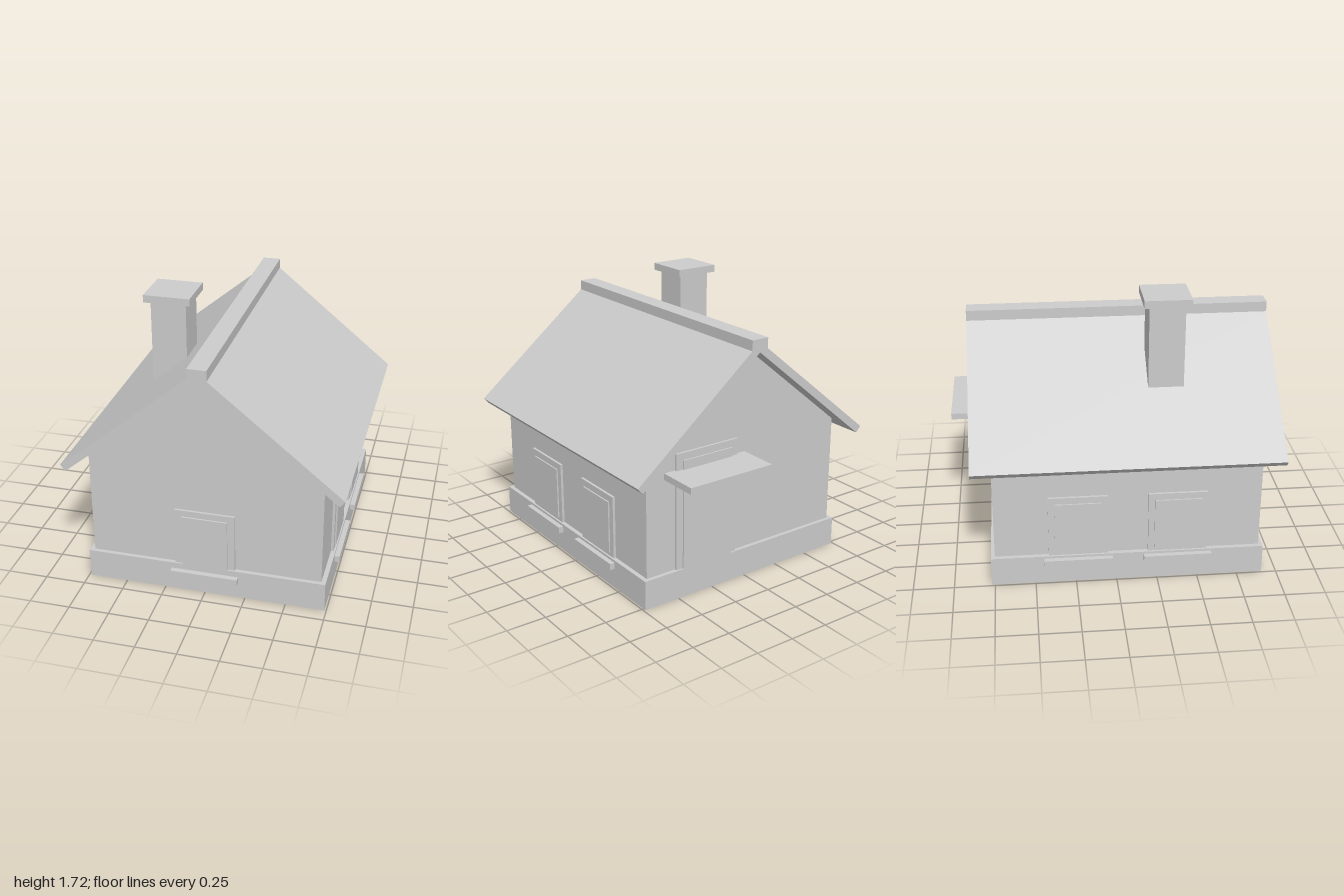
import * as THREE from 'three';

export function createModel() {
  const house = new THREE.Group();
  house.name = 'house';
  const plaster = new THREE.MeshStandardMaterial({ color: 0xcccccc });
  plaster.name = 'plain grey';

  const add = (name, geometry) => {
    const mesh = new THREE.Mesh(geometry, plaster);
    mesh.name = name;
    house.add(mesh);
    return mesh;
  };
  // Box given by its limits on each axis
  const box = (name, x0, x1, y0, y1, z0, z1) =>
    add(name, new THREE.BoxGeometry(x1 - x0, y1 - y0, z1 - z0))
      .position.set((x0 + x1) / 2, (y0 + y1) / 2, (z0 + z1) / 2);
  // Outline in x and y, extruded from z0 to z1
  const prism = (name, points, z0, z1) => {
    const shape = new THREE.Shape(points.map(([x, y]) => new THREE.Vector2(x, y)));
    add(name, new THREE.ExtrudeGeometry(shape, { depth: z1 - z0, bevelEnabled: false }))
      .position.z = z0;
  };

  // Plinth and gabled walls
  box('plinth', -0.738, 0.738, 0, 0.185, -0.77, 0.91);
  prism('walls', [[-0.71, 0.18], [0.71, 0.18], [0.71, 0.875], [0, 1.457], [-0.71, 0.875]], -0.745, 0.885);

  // Roof slopes with raised ridge
  prism('roof', [
    [0, 1.46], [0.813, 0.793], [0.845, 0.83], [0.057, 1.476], [0.057, 1.54],
    [-0.057, 1.54], [-0.057, 1.476], [-0.845, 0.83], [-0.813, 0.793],
  ], -0.865, 1);

  // Chimney
  box('chimneyStack', -0.443, -0.227, 1.0, 1.68, 0.214, 0.43);
  box('chimneyCap', -0.478, -0.194, 1.678, 1.724, 0.18, 0.463);

  // Front door with step
  box('frontDoorFrame', -0.185, 0.185, 0.185, 0.56, 0.87, 0.9);
  box('frontDoor', -0.14, 0.14, 0.185, 0.52, 0.87, 0.91);
  box('frontStep', -0.208, 0.208, 0.108, 0.147, 0.9, 0.943);

  // Back door with canopy
  box('backDoorFrame', 0.065, 0.508, 0.185, 0.92, -0.76, -0.73);
  box('backDoor', 0.11, 0.463, 0.185, 0.875, -0.77, -0.73);
  box('backCanopy', 0, 0.585, 0.778, 0.818, -1, -0.735);

  // Two windows with sills on each side
  for (const [sideName, side] of [['left', 1], ['right', -1]]) {
    for (const z of [0.375, -0.235]) {
      const slab = (name, halfZ, y0, y1, outer) => {
        const a = side * 0.7, b = side * outer;
        box(`${sideName}${name}`, Math.min(a, b), Math.max(a, b), y0, y1, z - halfZ, z + halfZ);
      };
      slab('WindowFrame', 0.181, 0.18, 0.585, 0.726);
      slab('WindowPane', 0.143, 0.21, 0.543, 0.735);
      slab('WindowSill', 0.209, 0.13, 0.17, 0.77);
    }
  }
  return house;
}
